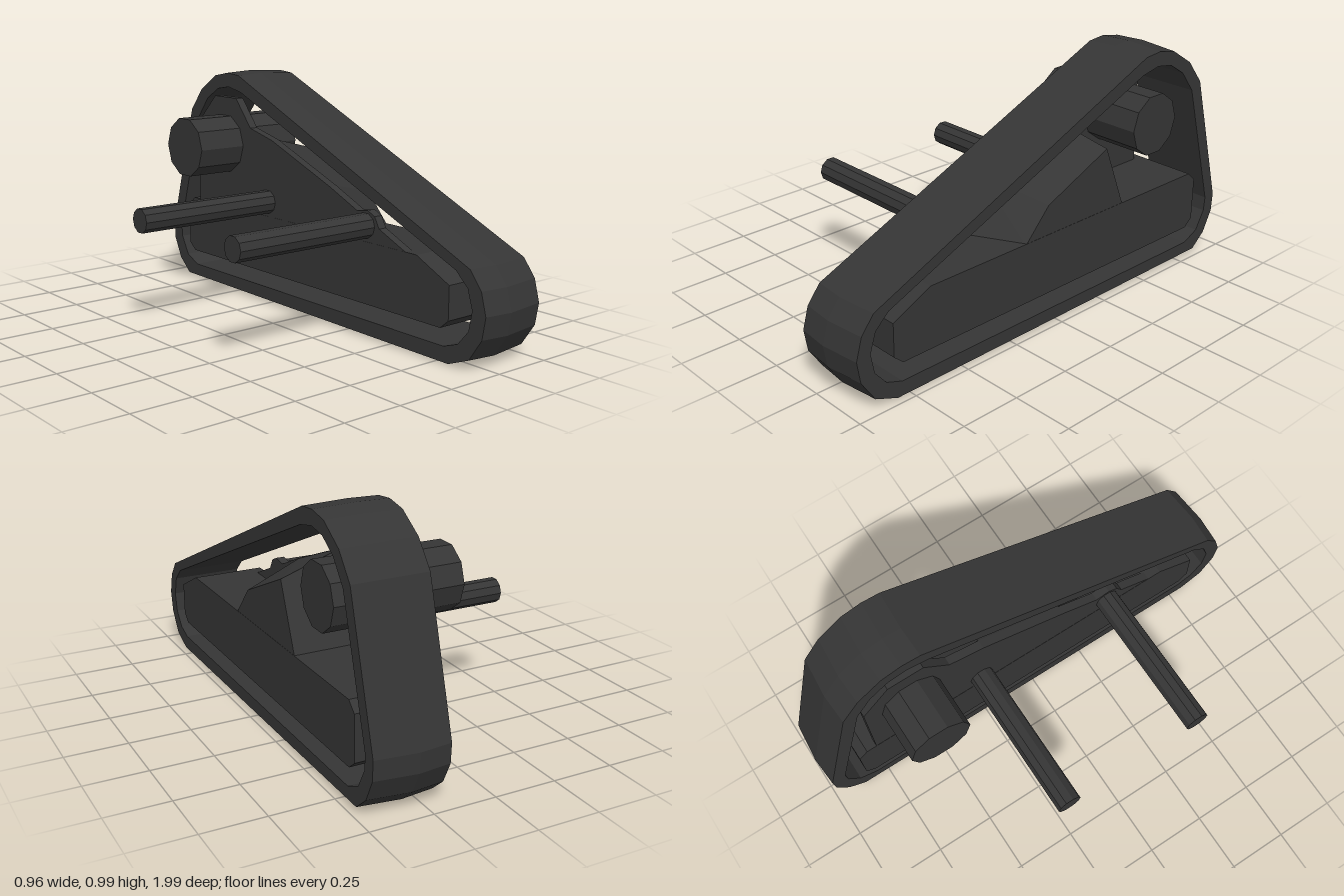
import * as THREE from 'three';
import { ConvexGeometry } from 'three/addons/geometries/ConvexGeometry.js';

const darkRubber = new THREE.MeshStandardMaterial({ color: 0x353535, flatShading: true });
darkRubber.name = 'darkRubber';

// Side profiles are lists of [z, y]
const outerLoop = [[0.82, 0.01], [0.92, 0.05], [0.98, 0.14], [0.995, 0.23], [0.97, 0.32], [0.915, 0.39],
  [-0.47, 0.99], [-0.55, 0.997], [-0.64, 0.98], [-0.75, 0.91], [-0.83, 0.81],
  [-0.99, 0.25], [-0.985, 0.17], [-0.94, 0.08], [-0.87, 0.02]];
const innerLoop = [[0.79, 0.075], [0.86, 0.10], [0.91, 0.16], [0.925, 0.24], [0.90, 0.32], [0.84, 0.375],
  [-0.45, 0.915], [-0.54, 0.933], [-0.62, 0.92], [-0.70, 0.87], [-0.77, 0.78],
  [-0.925, 0.25], [-0.92, 0.19], [-0.875, 0.11], [-0.80, 0.075]];
const baseProfile = [[0.82, 0.18], [0.82, 0.315], [0.65, 0.397], [-0.80, 0.397], [-0.84, 0.36],
  [-0.84, 0.178], [-0.80, 0.145], [0.78, 0.145]];
const plateProfile = [[0.60, 0.37], [0.59, 0.397], [0.446, 0.46], [0.42, 0.505], [0.38, 0.523], [0.32, 0.513],
  [0.155, 0.585], [-0.22, 0.73], [-0.37, 0.767], [-0.473, 0.888], [-0.628, 0.888],
  [-0.75, 0.767], [-0.756, 0.37]];

function addPart(group, name, geometry) {
  const mesh = new THREE.Mesh(geometry, darkRubber);
  mesh.name = name;
  group.add(mesh);
  return mesh;
}

// Extrude a [z, y] profile from x0 to x1
function slab(profile, x0, x1) {
  const shape = new THREE.Shape(profile.map(([z, y]) => new THREE.Vector2(-z, y)));
  return new THREE.ExtrudeGeometry(shape, { depth: x1 - x0, bevelEnabled: false })
    .rotateY(Math.PI / 2).translate(x0, 0, 0);
}

// Ten-sided bar along x
function bar(radius, x0, x1, y, z) {
  return new THREE.CylinderGeometry(radius, radius, x1 - x0, 10)
    .rotateZ(Math.PI / 2).translate((x0 + x1) / 2, y, z);
}

// Closed belt with a slightly crowned tread
function trackGeometry() {
  const ring = (loop, x, grow = 1) => loop.map(([z, y]) => [x, 0.5 + (y - 0.5) * grow, z * grow]);
  const rings = [ring(innerLoop, 0.177), ring(outerLoop, 0.177, 0.995), ring(outerLoop, 0.305, 1.005),
    ring(outerLoop, 0.475, 0.99), ring(innerLoop, 0.475)];
  const positions = [];
  const n = outerLoop.length;
  for (let r = 0; r < rings.length; r++) {
    const a = rings[r];
    const b = rings[(r + 1) % rings.length];
    for (let i = 0; i < n; i++) {
      const j = (i + 1) % n;
      positions.push(...a[i], ...b[j], ...a[j], ...a[i], ...b[i], ...b[j]);
    }
  }
  const geometry = new THREE.BufferGeometry();
  geometry.setAttribute('position', new THREE.Float32BufferAttribute(positions, 3));
  // Turn the faces outward if the loop runs the other way
  const p = geometry.attributes.position;
  let volume = 0;
  const [u, v, w] = [0, 1, 2].map(() => new THREE.Vector3());
  for (let i = 0; i < p.count; i += 3) {
    u.fromBufferAttribute(p, i);
    v.fromBufferAttribute(p, i + 1);
    w.fromBufferAttribute(p, i + 2);
    volume += u.dot(v.cross(w));
  }
  if (volume < 0) {
    for (let i = 0; i < p.count; i += 3) {
      v.fromBufferAttribute(p, i + 1);
      w.fromBufferAttribute(p, i + 2);
      p.setXYZ(i + 1, w.x, w.y, w.z);
      p.setXYZ(i + 2, v.x, v.y, v.z);
    }
  }
  geometry.computeVertexNormals();
  return geometry;
}

export function createModel() {
  const model = new THREE.Group();
  model.name = 'trackUnit';

  addPart(model, 'trackBelt', trackGeometry());

  // Frame inside the belt
  addPart(model, 'frameBase', slab(baseProfile, 0.167, 0.47));
  addPart(model, 'framePlate', slab(plateProfile, 0.168, 0.205));

  // Tapered housing standing on the base
  const housing = [
    ...[[0.32, 0.39], [0.155, 0.585], [-0.22, 0.73], [-0.37, 0.39]].map(([z, y]) => new THREE.Vector3(0.2, y, z)),
    ...[[0.18, 0.39], [0.06, 0.52], [-0.26, 0.66], [-0.37, 0.39]].map(([z, y]) => new THREE.Vector3(0.469, y, z)),
  ];
  addPart(model, 'frameHousing', new ConvexGeometry(housing));

  // Drive hub through the plate and the two mounting rods
  addPart(model, 'driveHub', bar(0.13, -0.053, 0.465, 0.683, -0.552));
  for (const [name, z] of [['frontRod', 0.37], ['rearRod', -0.247]]) {
    addPart(model, name, bar(0.051, -0.48, 0.19, 0.462, z));
  }
  return model;
}
